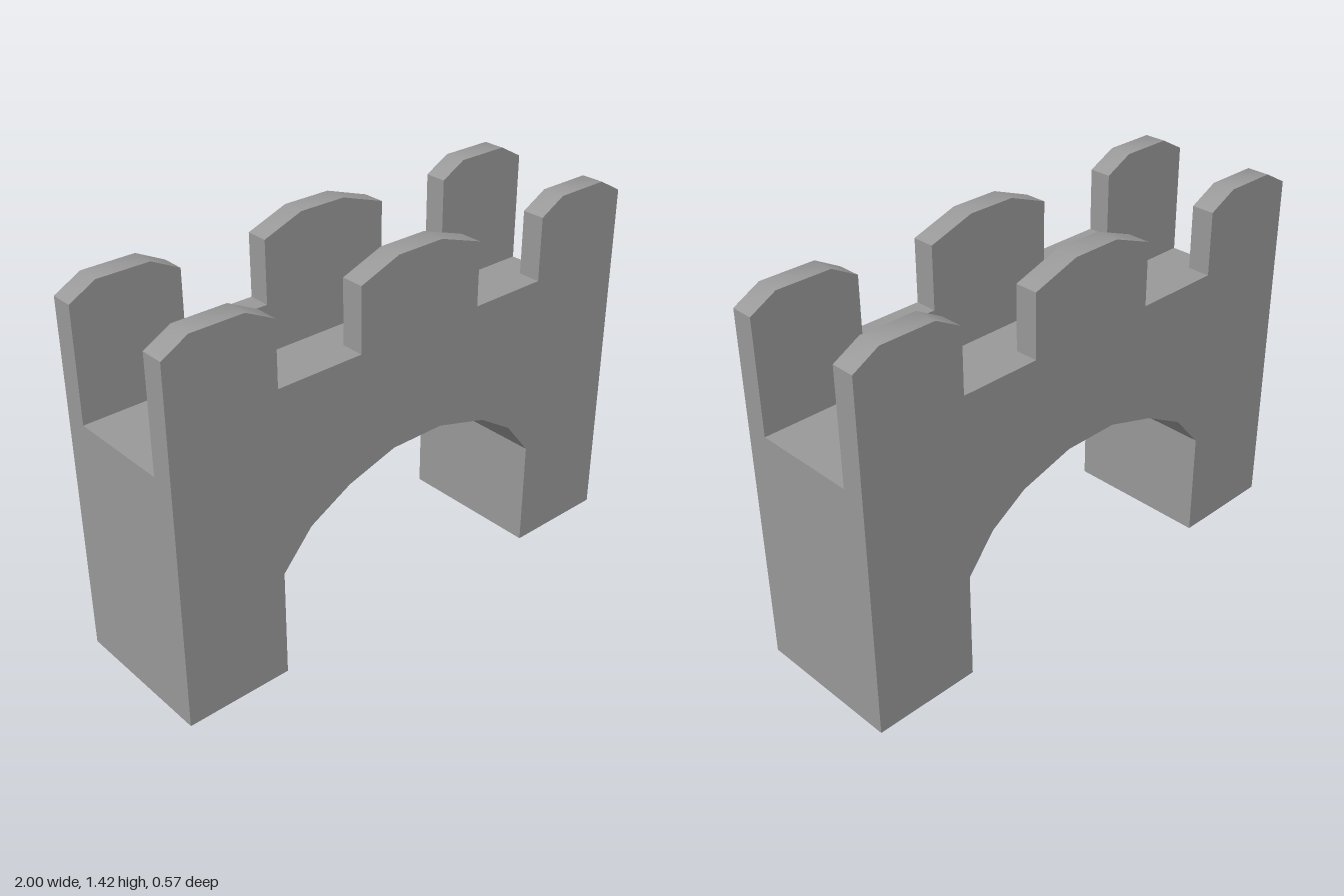
import * as THREE from 'three';
import { toCreasedNormals } from 'three/addons/utils/BufferGeometryUtils.js';

const DECK = 0.935;    // walkway height
const HALF = 0.287;    // half the depth of the bridge
const WALL = 0.087;    // parapet thickness

// Extrudes an outline from z0 to z1, smoothing only the gentle bends
function slab(name, points, z0, z1, material) {
  const shape = new THREE.Shape(points.map(([x, y]) => new THREE.Vector2(x, y)));
  const geometry = new THREE.ExtrudeGeometry(shape, { depth: z1 - z0, bevelEnabled: false });
  geometry.translate(0, 0, z0);
  const mesh = new THREE.Mesh(toCreasedNormals(geometry, 0.6), material);
  mesh.name = name;
  return mesh;
}

export function createModel() {
  const group = new THREE.Group();
  group.name = 'castleBridge';
  const stone = new THREE.MeshStandardMaterial({ color: 0x999999 });
  stone.name = 'greyStone';

  // Two legs joined by a faceted arch, flat walkway on top
  const arch = [
    [-0.59, 0], [-0.59, 0.418], [-0.47, 0.555], [-0.3, 0.647], [-0.1, 0.708],
    [0.12, 0.708], [0.335, 0.647], [0.48, 0.555], [0.59, 0.418], [0.59, 0],
  ];
  const body = [...arch, [1, 0], [1, DECK], [-1, DECK], [-1, 0]];
  group.add(slab('archBody', body, -HALF, HALF, stone));

  // Parapets with three chamfered merlons each, listed left edge to right edge
  const merlons = [
    [-1, -0.9, -0.7, -0.59, 1.415],
    [-0.25, -0.09, 0.1, 0.28, 1.42],
    [0.59, 0.69, 0.9, 1, 1.415],
  ];
  const outline = [[-1, DECK]];
  merlons.forEach(([a, b, c, d, top], i) => {
    if (i > 0) outline.push([a, 1.12]);
    outline.push([a, 1.36], [b, top], [c, top], [d, 1.36]);
    if (i < 2) outline.push([d, 1.12]);
  });
  outline.push([1, DECK]);
  group.add(slab('frontParapet', outline, HALF - WALL, HALF, stone));
  group.add(slab('backParapet', outline, -HALF, WALL - HALF, stone));

  return group;
}
